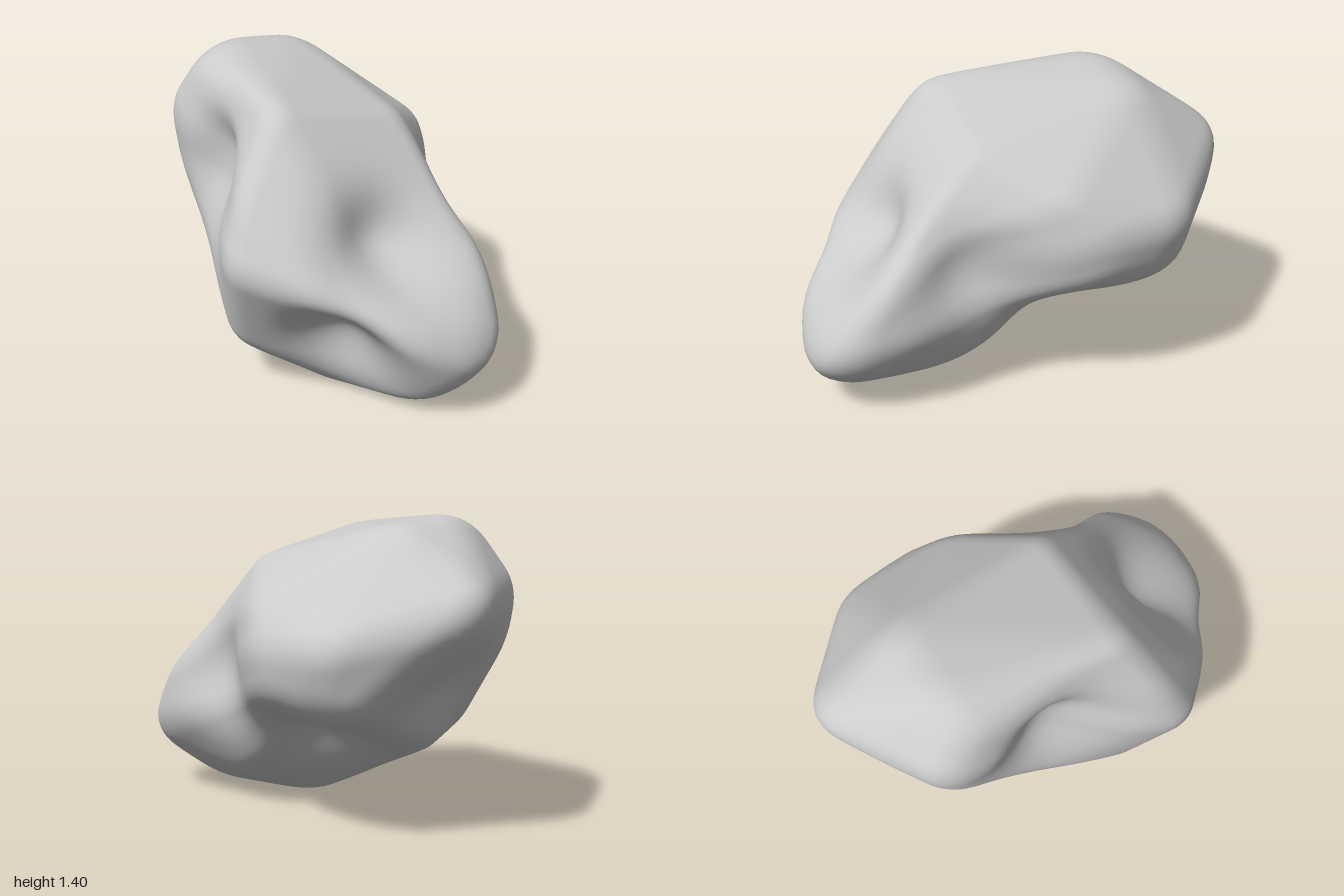
import * as THREE from 'three';
import { mergeVertices } from 'three/addons/utils/BufferGeometryUtils.js';
import { ConvexGeometry } from 'three/addons/geometries/ConvexGeometry.js';

const CENTRE = new THREE.Vector3(0, 0.7, 0);
const toLocal = (p) => new THREE.Vector3(...p).sub(CENTRE);

// Corners where the rock's facets meet
const CORNERS = [
  // top facet
  [-0.62, 1.39, 0.06], [-0.53, 1.355, -0.3], [-0.64, 1.32, 0.22], [0.12, 1.31, 0.4], [0.26, 1.19, -0.2],
  // far end
  [-1, 1.04, -0.38], [-0.9, 0.88, -0.38], [-0.81, 1.08, 0.25], [-0.78, 0.82, 0.24],
  // back
  [-0.48, 0.87, -0.76], [-0.4, 0.62, -0.7], [-0.54, 0.58, -0.63], [0.02, 1.03, -0.58], [-0.1, 0.85, -0.71], [-0.12, 0.65, -0.69],
  // front ridge
  [0.18, 0.98, 0.66], [0.22, 0.7, 0.76], [0.6, 0.6, 0.57],
  // near end
  [0.88, 0.45, 0.32], [1, 0.35, 0], [0.95, 0.3, -0.17], [0.8, 0.62, -0.24], [0.6, 0.85, -0.2], [0.96, 0.2, 0.08],
  // underside
  [0.27, 0, 0.22], [0.77, 0.04, 0.13], [0.03, 0.24, 0.58], [0, 0.13, 0.38],
  [-0.6, 0.38, -0.12], [-0.57, 0.46, 0.24], [0.7, 0.18, -0.15], [0.4, 0.15, -0.18],
].map(toLocal);

// Scooped facets: a point on the facet, where it sinks to, and how wide the scoop is
const DENTS = [
  { from: [-0.28, 0.9, 0.48], to: [-0.25, 0.93, 0.26], width: 0.27 }, // front
  { from: [0.63, 0.75, 0.2], to: [0.47, 0.7, 0.17], width: 0.25 }, // upper side
  { from: [0.57, 0.3, 0.46], to: [0.51, 0.38, 0.35], width: 0.22 }, // lower front
  { from: [0.38, 0.66, -0.47], to: [0.36, 0.68, -0.29], width: 0.28 }, // back
  { from: [-0.1, 0.35, -0.33], to: [-0.08, 0.48, -0.24], width: 0.26 }, // underside
  { from: [-0.73, 0.68, -0.22], to: [-0.64, 0.72, -0.18], width: 0.2 }, // far end
].map(({ from, to, width }) => {
  const start = toLocal(from);
  return { start, push: toLocal(to).sub(start), width };
});

function hullPlanes(corners) {
  const pos = new ConvexGeometry(corners).attributes.position;
  const planes = [];
  for (let i = 0; i < pos.count; i += 3) {
    const [a, b, c] = [0, 1, 2].map((k) => new THREE.Vector3().fromBufferAttribute(pos, i + k));
    const normal = b.clone().sub(a).cross(c.sub(a)).normalize();
    planes.push({ normal, d: normal.dot(a) });
  }
  return planes;
}

function sphere(detail) {
  const geo = new THREE.IcosahedronGeometry(1, detail);
  geo.deleteAttribute('uv');
  geo.deleteAttribute('normal');
  return mergeVertices(geo);
}

const points = (geo) => {
  const pos = geo.attributes.position;
  return Array.from({ length: pos.count }, (_, i) => new THREE.Vector3().fromBufferAttribute(pos, i));
};

function rockGeometry() {
  let planes = hullPlanes(CORNERS);
  const offsets = points(sphere(1)).map((p) => p.multiplyScalar(0.1));
  const probe = new THREE.Vector3();

  // Distance from the centre to the faceted hull
  const hullRadius = (dir) => {
    let r = Infinity;
    for (const { normal, d } of planes) {
      const k = normal.dot(dir);
      if (k > 1e-6) r = Math.min(r, d / k);
    }
    return r;
  };
  // Averaging nearby directions rounds the edges
  const roundRadius = (dir) => {
    let sum = 0;
    for (const o of offsets) sum += hullRadius(probe.copy(dir).add(o).normalize());
    return sum / offsets.length;
  };

  // Extend the hull's corners so the rounded surface still reaches them
  planes = hullPlanes(CORNERS.map((c) => {
    const loss = c.length() / roundRadius(c.clone().normalize());
    return c.clone().multiplyScalar(Math.max(1, loss));
  }));

  const geo = sphere(40);
  const pos = geo.attributes.position;
  points(geo).forEach((dir, i) => {
    dir.normalize();
    const surface = dir.clone().multiplyScalar(roundRadius(dir));
    const p = surface.clone();
    for (const { start, push, width } of DENTS) {
      p.addScaledVector(push, Math.exp(-surface.distanceToSquared(start) / (width * width)));
    }
    pos.setXYZ(i, p.x, p.y, p.z);
  });

  // Stand it on the ground
  geo.computeBoundingBox();
  geo.translate(0, -geo.boundingBox.min.y, 0);
  geo.computeVertexNormals();
  return geo;
}

export function createModel() {
  const model = new THREE.Group();
  model.name = 'rock';
  const stone = new THREE.Mesh(rockGeometry(), new THREE.MeshStandardMaterial({ color: 0xcccccc }));
  stone.name = 'dentedStone';
  model.add(stone);
  return model;
}
